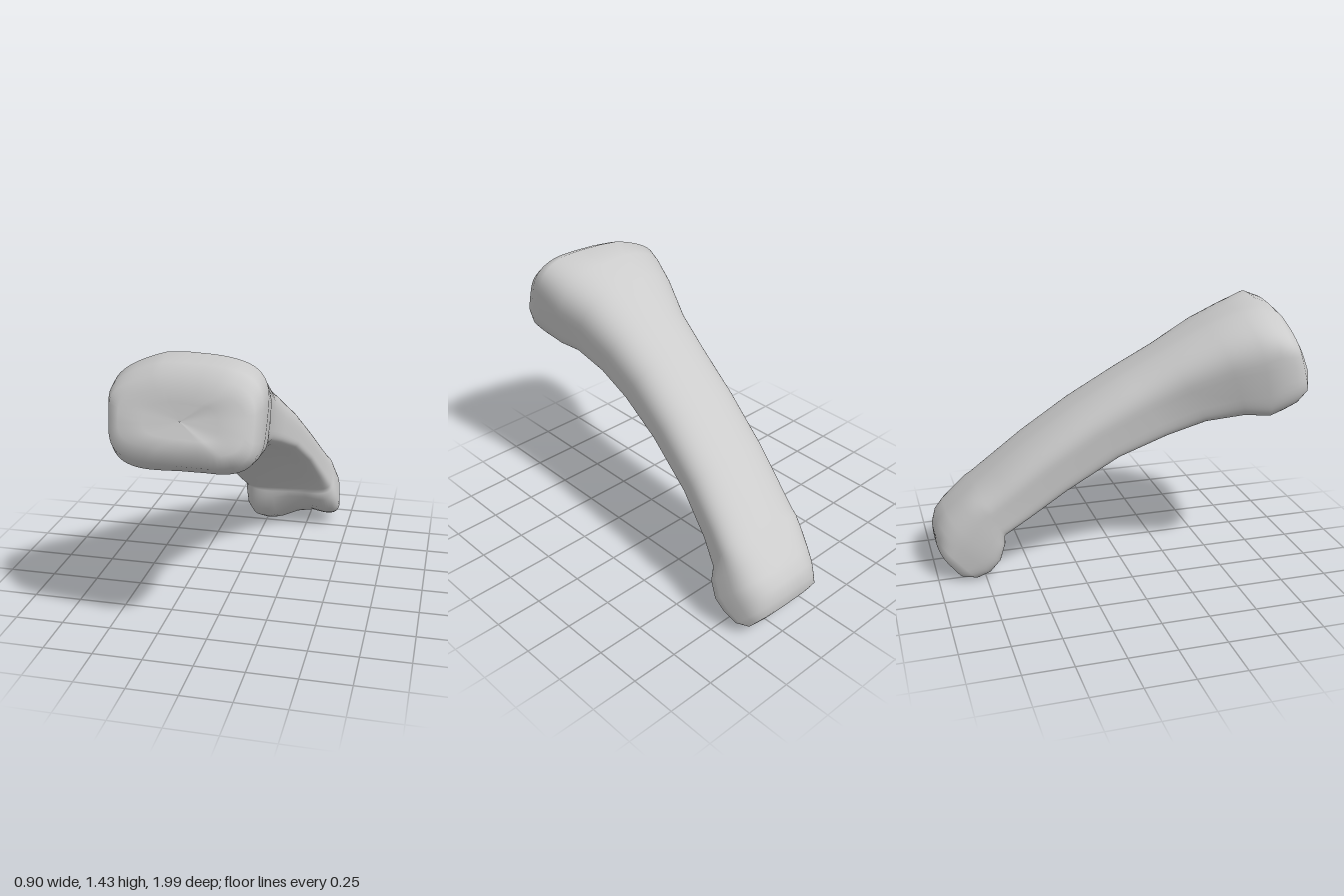
import * as THREE from 'three';

// Cross-sections, each as
// [top z, top y, bottom z, bottom y, bottom min x, bottom max x, top min x, top max x, underside tilt, underside groove]
// Broad base with the joint face, turned slightly to one side
const BASE = {
  topPower: 0.56, bottomPower: 0.47, shoulder: 0.2, skew: 0.05,
  rows: [
    [0.90, 1.30, 1.00, 1.05, -0.36, 0.23, -0.37, 0.23, 0.00, 0.00],
    [0.865, 1.36, 0.98, 0.97, -0.41, 0.265, -0.43, 0.275, 0.01, 0.00],
    [0.815, 1.405, 0.925, 0.915, -0.42, 0.28, -0.455, 0.305, 0.015, 0.01],
    [0.74, 1.435, 0.85, 0.885, -0.425, 0.285, -0.465, 0.32, 0.03, 0.01],
  ],
};
// Curved shaft with a flat, sharp-edged underside
const SHAFT = {
  topPower: 0.76, bottomPower: 0.3, shoulder: 0.06, skew: 0,
  rows: [
    [0.58, 1.395, 0.70, 0.88, -0.41, 0.275, -0.44, 0.30, 0.04, 0.02],
    [0.42, 1.325, 0.58, 0.88, -0.35, 0.26, -0.38, 0.27, 0.045, 0.02],
    [0.20, 1.19, 0.40, 0.84, -0.265, 0.25, -0.285, 0.25, 0.045, 0.015],
    [0.00, 1.075, 0.20, 0.77, -0.225, 0.26, -0.235, 0.26, 0.045, 0.01],
    [-0.25, 0.915, -0.05, 0.665, -0.19, 0.295, -0.195, 0.295, 0.045, 0.01],
    [-0.50, 0.73, -0.32, 0.495, -0.155, 0.335, -0.155, 0.335, 0.045, 0.01],
    [-0.68, 0.575, -0.52, 0.345, -0.13, 0.375, -0.12, 0.375, 0.03, 0.0],
    [-0.77, 0.497, -0.635, 0.26, -0.12, 0.41, -0.10, 0.395, 0.01, 0.0],
  ],
};
// Two condyles wrapping around the far end
const HEAD = {
  topPower: 0.66, bottomPower: 0.45, shoulder: 0, skew: 0,
  rows: [
    [-0.80, 0.47, -0.638, 0.235, -0.122, 0.425, -0.09, 0.40, 0.0, 0.01],
    [-0.86, 0.415, -0.637, 0.19, -0.13, 0.445, -0.075, 0.405, 0.00, 0.03],
    [-0.93, 0.345, -0.665, 0.10, -0.13, 0.465, -0.055, 0.42, 0.015, 0.05],
    [-0.975, 0.29, -0.72, 0.035, -0.11, 0.465, -0.04, 0.41, 0.03, 0.06],
    [-0.995, 0.22, -0.79, 0.0, -0.08, 0.455, -0.03, 0.39, 0.035, 0.05],
    [-0.99, 0.16, -0.87, 0.015, -0.055, 0.42, -0.03, 0.375, 0.03, 0.03],
  ],
};
const SIDES = 64;

const { lerp } = THREE.MathUtils;
const softPow = (value, power) => Math.sign(value) * Math.abs(value) ** power;

// One ring: rounded top, flatter underside that tilts up towards +x
function makeRing([tz, ty, bz, by, bx0, bx1, tx0, tx1, tilt, groove], style) {
  const height = Math.hypot(tz - bz, ty - by);
  const ring = [];
  for (let j = 0; j < SIDES; j++) {
    const angle = (j / SIDES) * Math.PI * 2;
    const c = Math.cos(angle), s = Math.sin(angle);
    const power = s < 0 ? style.bottomPower : style.topPower;
    const u = softPow(c, power), v = softPow(s, power);
    let t = (v + 1) / 2;
    if (v < 0) {
      const lift = tilt * (u + 0.5) + groove * Math.exp(-(((u - 0.2) / 0.45) ** 2));
      t += (lift / height) * -v;
    } else {
      t -= style.shoulder * v * Math.max(0, -u - 0.2);
    }
    ring.push(new THREE.Vector3(
      lerp(lerp(bx0, tx0, t), lerp(bx1, tx1, t), (u + 1) / 2),
      lerp(by, ty, t),
      lerp(bz, tz, t) + style.skew * Math.min(0, u - 0.6),
    ));
  }
  return ring;
}

// Shrinks an end ring towards its middle to close the surface
function capRing(ring, scale, push) {
  const middle = ring.reduce((sum, p) => sum.add(p), new THREE.Vector3()).divideScalar(SIDES);
  return ring.map((p) => {
    const q = middle.clone().lerp(p, scale);
    q.z += push;
    return q;
  });
}

function loft(rings) {
  const positions = [], indices = [];
  rings.forEach((ring) => ring.forEach((p) => positions.push(p.x, p.y, p.z)));
  for (let i = 0; i < rings.length - 1; i++) {
    for (let j = 0; j < SIDES; j++) {
      const k = (j + 1) % SIDES;
      const a = i * SIDES + j, b = i * SIDES + k;
      const c = a + SIDES, d = b + SIDES;
      indices.push(a, c, b, b, c, d);
    }
  }
  const geometry = new THREE.BufferGeometry();
  geometry.setAttribute('position', new THREE.Float32BufferAttribute(positions, 3));
  geometry.setIndex(indices);
  geometry.computeVertexNormals();
  return geometry;
}

export function createModel() {
  const rings = [BASE, SHAFT, HEAD].flatMap((part) => part.rows.map((row) => makeRing(row, part)));
  const first = rings[0], last = rings[rings.length - 1];
  // Closed joint face at the base and rounded end at the condyles
  rings.unshift(capRing(first, 0.01, -0.01), capRing(first, 0.6, -0.006));
  rings.push(capRing(last, 0.75, -0.008), capRing(last, 0.01, -0.012));

  const bone = new THREE.Mesh(
    loft(rings),
    new THREE.MeshStandardMaterial({ color: 0xcccccc }),
  );
  bone.name = 'fingerBone';
  const group = new THREE.Group();
  group.name = 'bone';
  group.add(bone);
  return group;
}
